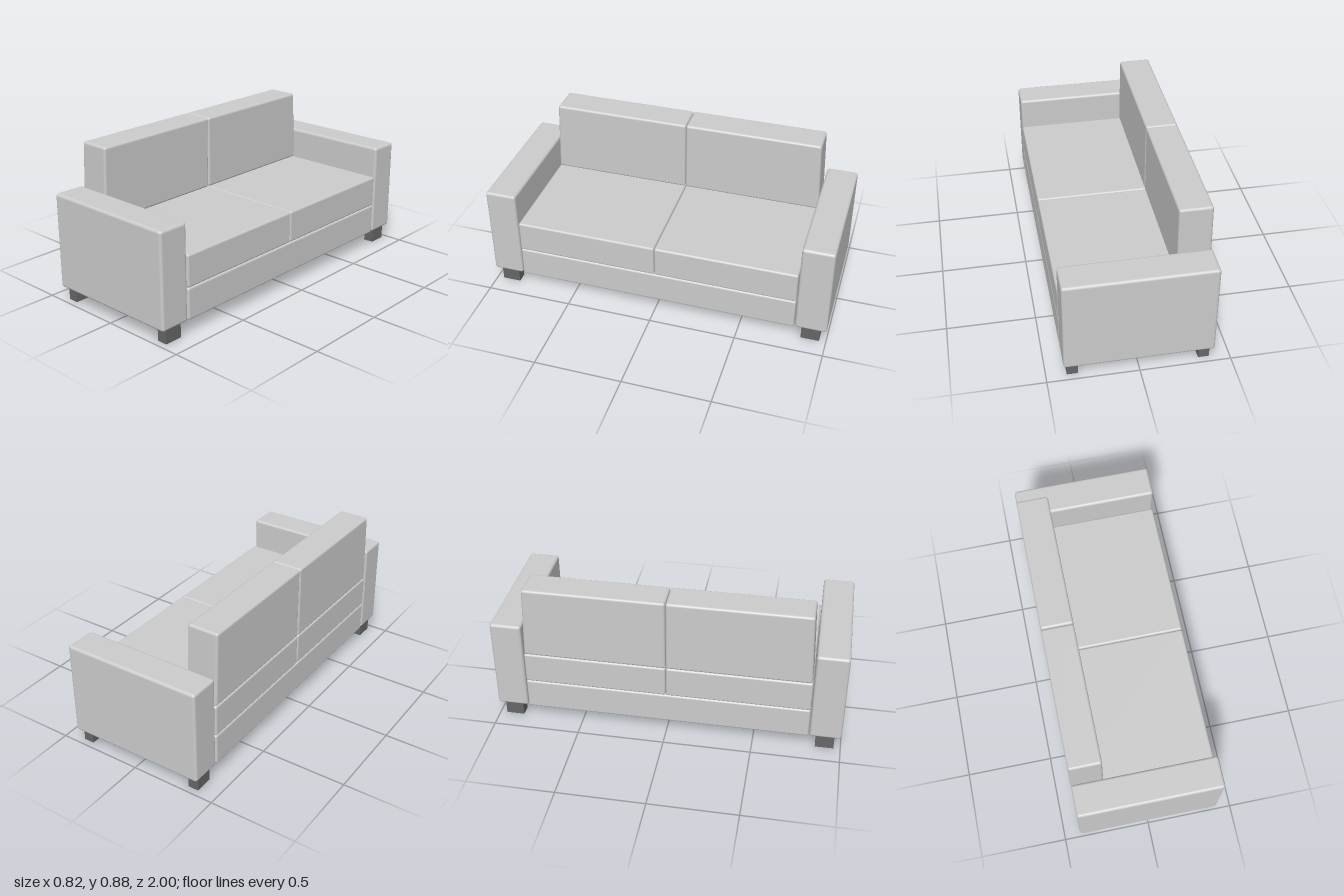
import * as THREE from 'three';
import { RoundedBoxGeometry } from 'three/addons/geometries/RoundedBoxGeometry.js';

const fabric = new THREE.MeshStandardMaterial({ color: 0xcccccc });
const darkWood = new THREE.MeshStandardMaterial({ color: 0x666666 });

// Softly rounded block given by its minimum and maximum corners
function softBlock(name, [x0, y0, z0], [x1, y1, z1], radius) {
  const geometry = new RoundedBoxGeometry(x1 - x0, y1 - y0, z1 - z0, 4, radius);
  geometry.translate((x0 + x1) / 2, (y0 + y1) / 2, (z0 + z1) / 2);
  const mesh = new THREE.Mesh(geometry, fabric);
  mesh.name = name;
  return mesh;
}

// Lean the outer end of a back cushion inwards towards its top
function taperOuterEnd(geometry, bottom, top, width, inset) {
  const p = geometry.attributes.position;
  for (let i = 0; i < p.count; i++) {
    const rise = (p.getY(i) - bottom) / (top - bottom);
    const outward = Math.abs(p.getZ(i)) / width;
    p.setZ(i, p.getZ(i) - Math.sign(p.getZ(i)) * inset * rise * outward);
  }
}

export function createModel() {
  const sofa = new THREE.Group();
  sofa.name = 'sofa';
  const depth = 0.408; // half depth, the seat opens towards +x
  const inner = 0.815; // half width between the arms

  sofa.add(softBlock('base', [-depth, 0.085, -inner], [depth, 0.268, inner], 0.012));

  for (const side of [1, -1]) {
    const end = side > 0 ? 'left' : 'right';
    // Block spanning z from a to b on this side
    const sideBlock = (name, x0, y0, x1, y1, a, b, r) => softBlock(
      end + name,
      [x0, y0, Math.min(side * a, side * b)],
      [x1, y1, Math.max(side * a, side * b)], r);

    sofa.add(sideBlock('Arm', -depth, 0.085, depth, 0.635, 0.82, 1, 0.016));
    sofa.add(sideBlock('SeatCushion', -depth, 0.268, depth, 0.453, 0.001, inner, 0.012));

    const back = sideBlock('BackCushion', -depth, 0.453, -0.226, 0.88, 0.001, 0.812, 0.014);
    taperOuterEnd(back.geometry, 0.453, 0.88, 0.812, 0.018);
    sofa.add(back);

    // Short feet under each arm
    for (const x of [-0.358, 0.358]) {
      const foot = new THREE.Mesh(new THREE.BoxGeometry(0.061, 0.09, 0.105), darkWood);
      foot.name = end + (x > 0 ? 'Front' : 'Back') + 'Foot';
      foot.position.set(x, 0.045, side * 0.909);
      sofa.add(foot);
    }
  }
  return sofa;
}
